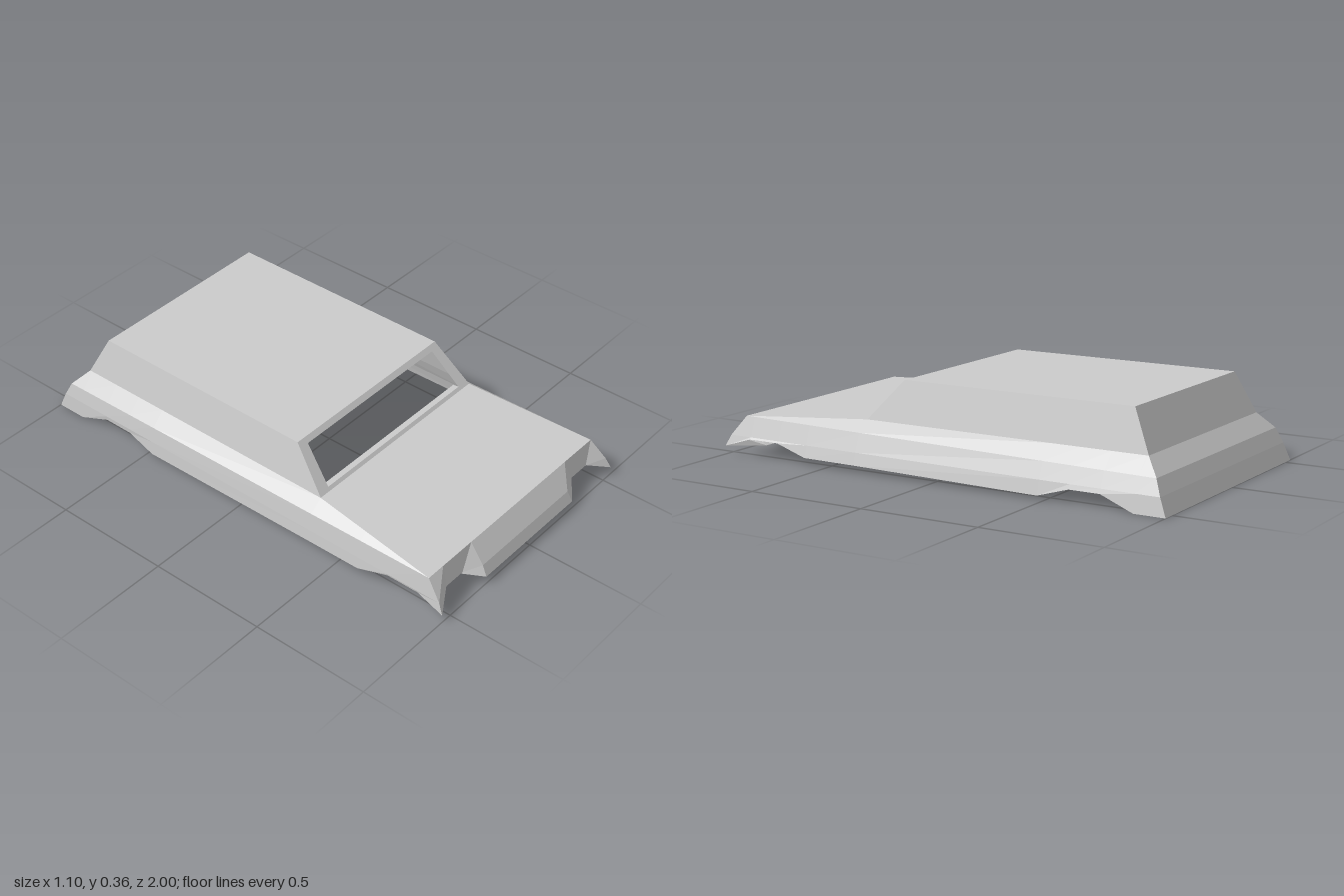
import * as THREE from 'three';

const material = new THREE.MeshStandardMaterial({ color: 0xcccccc, flatShading: true, side: THREE.DoubleSide });
const SHIFT = -0.012; // the upper body sits slightly off centre
const lerp = THREE.MathUtils.lerp;
const clamp = THREE.MathUtils.clamp;

// Flat-faced panel through rows of points (bottom to top, left to right from outside)
function panel(name, rows) {
  const out = [];
  for (let r = 0; r < rows.length - 1; r++) {
    for (let c = 0; c < rows[r].length - 1; c++) {
      const a = rows[r][c], b = rows[r][c + 1], d = rows[r + 1][c + 1], e = rows[r + 1][c];
      out.push(...a, ...b, ...d, ...a, ...d, ...e);
    }
  }
  const g = new THREE.BufferGeometry();
  g.setAttribute('position', new THREE.Float32BufferAttribute(out, 3));
  g.computeVertexNormals();
  const mesh = new THREE.Mesh(g, material);
  mesh.name = name;
  return mesh;
}

// Lines running along each flank; s is +1 for the left, -1 for the right
const sill = (s, z, y, x = 0.55) => [s * x, y, z];
const mid = (s, z) => {
  z = clamp(z, -0.97, 0.98);
  return [s * 0.54 - 0.004, lerp(0.07, 0.08, (z + 0.97) / 1.95), z];
};
const shoulder = (s, z) => {
  z = clamp(z, -0.94, 0.92);
  return [s * 0.52 + SHIFT, lerp(0.13, 0.16, (z + 0.94) / 1.86), z];
};
const belt = (s, z) => {
  z = clamp(z, -0.88, 0.92);
  const t = clamp((z - 0.36) / 0.56, 0, 1);
  return [s * lerp(0.465, 0.52, t) + SHIFT, lerp(0.195, 0.16, t), z];
};
const roof = (s, z) => [s * 0.4225 + SHIFT, 0.36, z];

// Station z, sill height and sill half width, with the wheel arches
const STATIONS = [
  [1, 0.035, 0.55], [0.88, 0.072, 0.543], [0.74, 0.072, 0.543], [0.6, 0.03, 0.55], [0.36, 0.028, 0.55],
  [-0.47, 0.015, 0.55], [-0.6, 0.053, 0.543], [-0.73, 0.053, 0.543], [-0.87, 0, 0.55], [-1, 0, 0.55],
];

export function createModel() {
  const model = new THREE.Group();
  model.name = 'carBody';

  // Flanks and cabin sides
  for (const s of [1, -1]) {
    const side = s > 0 ? 'left' : 'right';
    const order = (row) => (s > 0 ? row : row.reverse());
    model.add(panel(side + 'Flank', [
      order(STATIONS.map(([z, y, x]) => sill(s, z, y, x))),
      order(STATIONS.map(([z]) => mid(s, z))),
      order(STATIONS.map(([z]) => shoulder(s, z))),
      order(STATIONS.map(([z]) => belt(s, z))),
    ]));
    model.add(panel(side + 'CabinSide', [
      order([belt(s, 0.36), belt(s, -0.88)]),
      order([roof(s, 0.21), roof(s, -0.8)]),
    ]));
  }

  // Front apron, undercut between its middle and the corners
  const xs = [-0.55, -0.46, -0.36, -0.28, 0.28, 0.36, 0.46, 0.55];
  const recessed = (x) => Math.abs(x) > 0.3 && Math.abs(x) < 0.5;
  model.add(panel('frontApron', [
    xs.map((x) => [x, 0.035, recessed(x) ? 0.86 : 1]),
    xs.map((x) => [x * 0.54 / 0.55 - 0.004, 0.08, recessed(x) ? 0.945 : 0.98]),
    xs.map((x) => [x * 0.52 / 0.55 + SHIFT, 0.16, 0.92]),
  ]));

  // Bonnet, roof and tail
  model.add(panel('bonnet', [
    [belt(-1, 0.92), belt(1, 0.92)],
    [belt(-1, 0.36), belt(1, 0.36)],
  ]));
  model.add(panel('roof', [
    [roof(-1, 0.21), roof(1, 0.21)],
    [roof(-1, -0.8), roof(1, -0.8)],
  ]));
  model.add(panel('tail', [
    [sill(1, -1, 0), sill(-1, -1, 0)],
    [mid(1, -1), mid(-1, -1)],
    [shoulder(1, -1), shoulder(-1, -1)],
    [belt(1, -1), belt(-1, -1)],
    [roof(1, -0.8), roof(-1, -0.8)],
  ]));

  // Windscreen surround with an open middle
  const screen = (x, y) => [x + SHIFT, y, 0.36 - (y - 0.195) * 0.15 / 0.165];
  const loop = (xb, yb, xt, yt) =>
    [[-xb, yb], [xb, yb], [xt, yt], [-xt, yt], [-xb, yb]].map(([x, y]) => screen(x, y));
  model.add(panel('windscreenFrame', [
    loop(0.465, 0.195, 0.4225, 0.36),
    loop(0.408, 0.207, 0.383, 0.341),
  ]));

  // Narrow ledge behind the lower edge of the opening
  model.add(panel('windscreenLedge', [
    [screen(-0.408, 0.207), screen(0.408, 0.207)],
    [[-0.405 + SHIFT, 0.207, 0.325], [0.405 + SHIFT, 0.207, 0.325]],
  ]));

  return model;
}
